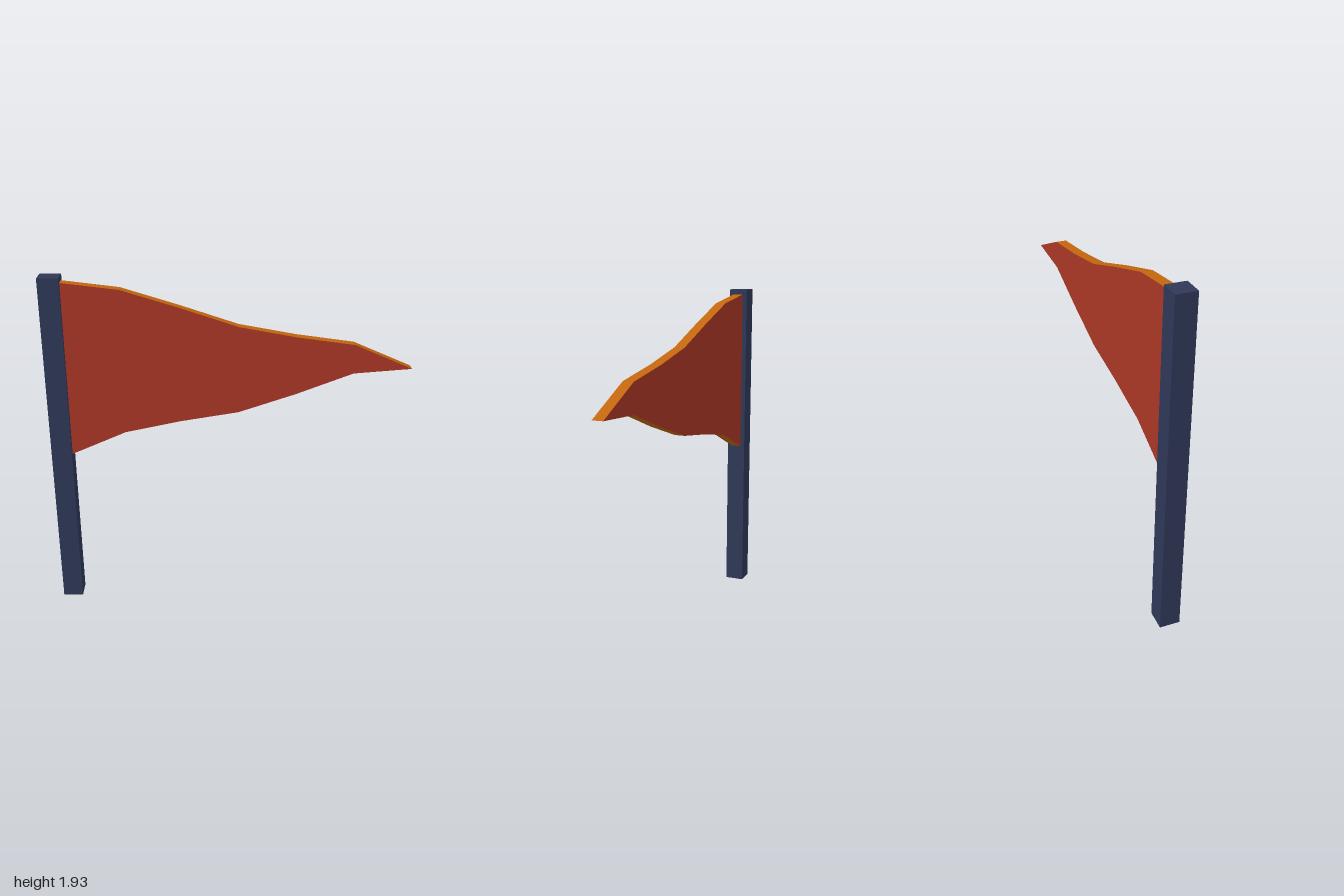
import * as THREE from 'three';

export function createModel() {
  const navy = new THREE.MeshStandardMaterial({ color: 0x2f3858 });
  navy.name = 'navy';
  const red = new THREE.MeshStandardMaterial({ color: 0xaa3626 });
  red.name = 'red';
  const orange = new THREE.MeshStandardMaterial({ color: 0xc4670f });
  orange.name = 'orange';

  const model = new THREE.Group();
  model.name = 'pennant';

  // Square pole
  const pole = new THREE.Mesh(new THREE.BoxGeometry(0.113, 1.935, 0.113), navy);
  pole.name = 'pole';
  pole.position.set(-0.9435, 0.9675, 0);
  model.add(pole);

  // Wavy pennant outline: lower edge out to the tip, then back along the upper edge
  const outline = [
    [-0.887, 0.925], [-0.58, 1.056], [-0.266, 1.12], [0.05, 1.17], [0.365, 1.274], [0.68, 1.392],
    [1, 1.416],
    [0.68, 1.555], [0.365, 1.6], [0.05, 1.66], [-0.266, 1.767], [-0.58, 1.866], [-0.887, 1.905],
  ].map(([x, y]) => new THREE.Vector2(x, y));

  // Red faces, orange rim
  const thickness = 0.06;
  const geometry = new THREE.ExtrudeGeometry(new THREE.Shape(outline), {
    depth: thickness, bevelEnabled: false,
  });
  geometry.translate(0, 0, -thickness / 2);
  const flag = new THREE.Mesh(geometry, [red, orange]);
  flag.name = 'flag';
  model.add(flag);

  return model;
}
